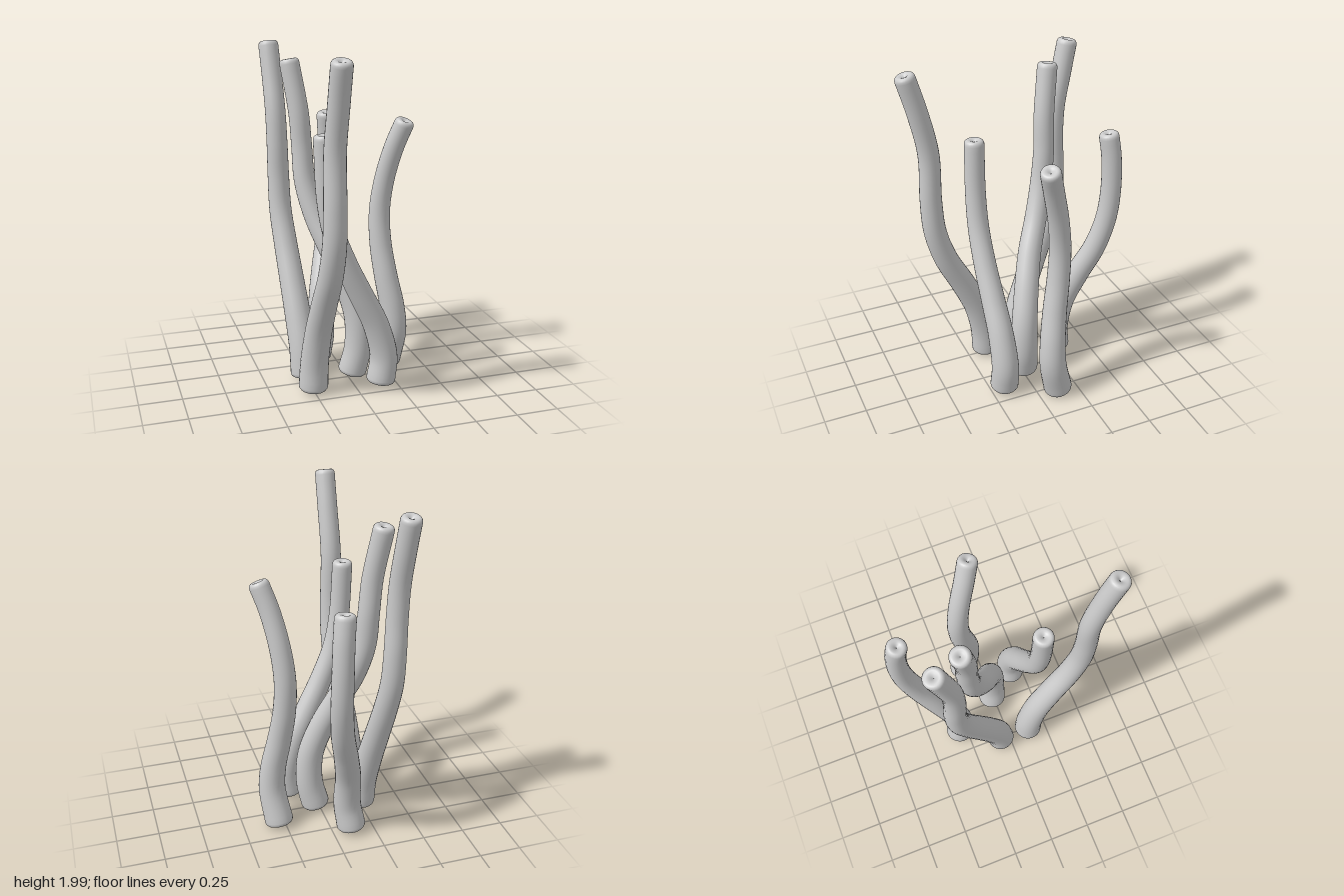
import * as THREE from 'three';

const SIDES = 24, STEPS = 48;

// Centre lines of the stalks, base to tip: [x, y, z]
const stalks = {
  frontStalk: [[-.255, .06, .135], [-.25, .2, .145], [-.24, .4, .195], [-.23, .6, .285], [-.22, .8, .385],
    [-.215, 1, .445], [-.215, 1.2, .46], [-.215, 1.5, .46], [-.21, 1.75, .51], [-.21, 1.95, .565]],
  innerFrontStalk: [[.15, .065, .17], [.165, .2, .17], [.115, .4, .175], [.02, .6, .185], [-.075, .8, .195],
    [-.15, 1, .2], [-.185, 1.2, .2], [-.2, 1.515, .195]],
  leftStalk: [[.29, .055, -.12], [.315, .25, -.075], [.305, .4, -.075], [.27, .6, -.1], [.245, .8, -.13],
    [.24, 1, -.14], [.26, 1.2, -.115], [.3, 1.4, -.065], [.342, 1.535, -.025]],
  backStalk: [[-.11, .06, -.295], [-.09, .2, -.28], [-.08, .4, -.32], [-.04, .6, -.4], [.01, .8, -.485],
    [.035, 1, -.54], [.04, 1.2, -.56], [.035, 1.4, -.555], [.025, 1.52, -.54]],
  middleStalk: [[.03, .06, -.01], [.06, .2, .0], [.055, .4, -.005], [0, .6, -.04], [-.08, .8, -.095],
    [-.155, 1, -.17], [-.2, 1.2, -.22], [-.21, 1.4, -.24], [-.225, 1.6, -.245], [-.265, 1.875, -.28]],
  rightStalk: [[-.255, .06, -.06], [-.26, .2, -.08], [-.275, .4, -.14], [-.29, .6, -.215], [-.305, .8, -.29],
    [-.32, 1, -.345], [-.325, 1.2, -.36], [-.33, 1.4, -.355], [-.335, 1.6, -.365], [-.342, 1.8, -.405], [-.35, 1.965, -.44]],
};

// Rounded rim rolling into a central dimple: [distance past the end, radius factor]
const cap = [[.012, .98], [.022, .9], [.028, .76], [.029, .58], [.025, .36], [.015, .15], [.003, 0]];

function stalkGeometry(points) {
  const curve = new THREE.CatmullRomCurve3(points.map(p => new THREE.Vector3(...p)));
  const frames = curve.computeFrenetFrames(STEPS);
  const rings = [];
  const addRing = (i, offset, factor) => {
    const t = i / STEPS;
    rings.push({ i, offset, centre: curve.getPointAt(t), radius: factor * (.058 + .028 * (1 - t) ** 1.7) });
  };
  [...cap].reverse().forEach(([d, f]) => addRing(0, -d, f));
  for (let i = 0; i <= STEPS; i++) addRing(i, 0, 1);
  cap.forEach(([d, f]) => addRing(STEPS, d, f));

  const position = [], index = [];
  rings.forEach(({ i, offset, centre, radius }, r) => {
    centre.addScaledVector(frames.tangents[i], offset);
    for (let j = 0; j < SIDES; j++) {
      const a = j / SIDES * Math.PI * 2;
      const v = centre.clone()
        .addScaledVector(frames.normals[i], Math.cos(a) * radius)
        .addScaledVector(frames.binormals[i], Math.sin(a) * radius);
      position.push(v.x, v.y, v.z);
      if (r === rings.length - 1) continue;
      const k = (j + 1) % SIDES, p = r * SIDES, q = p + SIDES;
      index.push(p + j, p + k, q + k, p + j, q + k, q + j);
    }
  });
  const geometry = new THREE.BufferGeometry();
  geometry.setAttribute('position', new THREE.Float32BufferAttribute(position, 3));
  geometry.setIndex(index);
  geometry.computeVertexNormals();
  return geometry;
}

export function createModel() {
  const group = new THREE.Group();
  group.name = 'stalkCluster';
  const material = new THREE.MeshStandardMaterial({ color: 0xcccccc });
  for (const [name, points] of Object.entries(stalks)) {
    const mesh = new THREE.Mesh(stalkGeometry(points), material);
    mesh.name = name;
    group.add(mesh);
  }
  return group;
}
